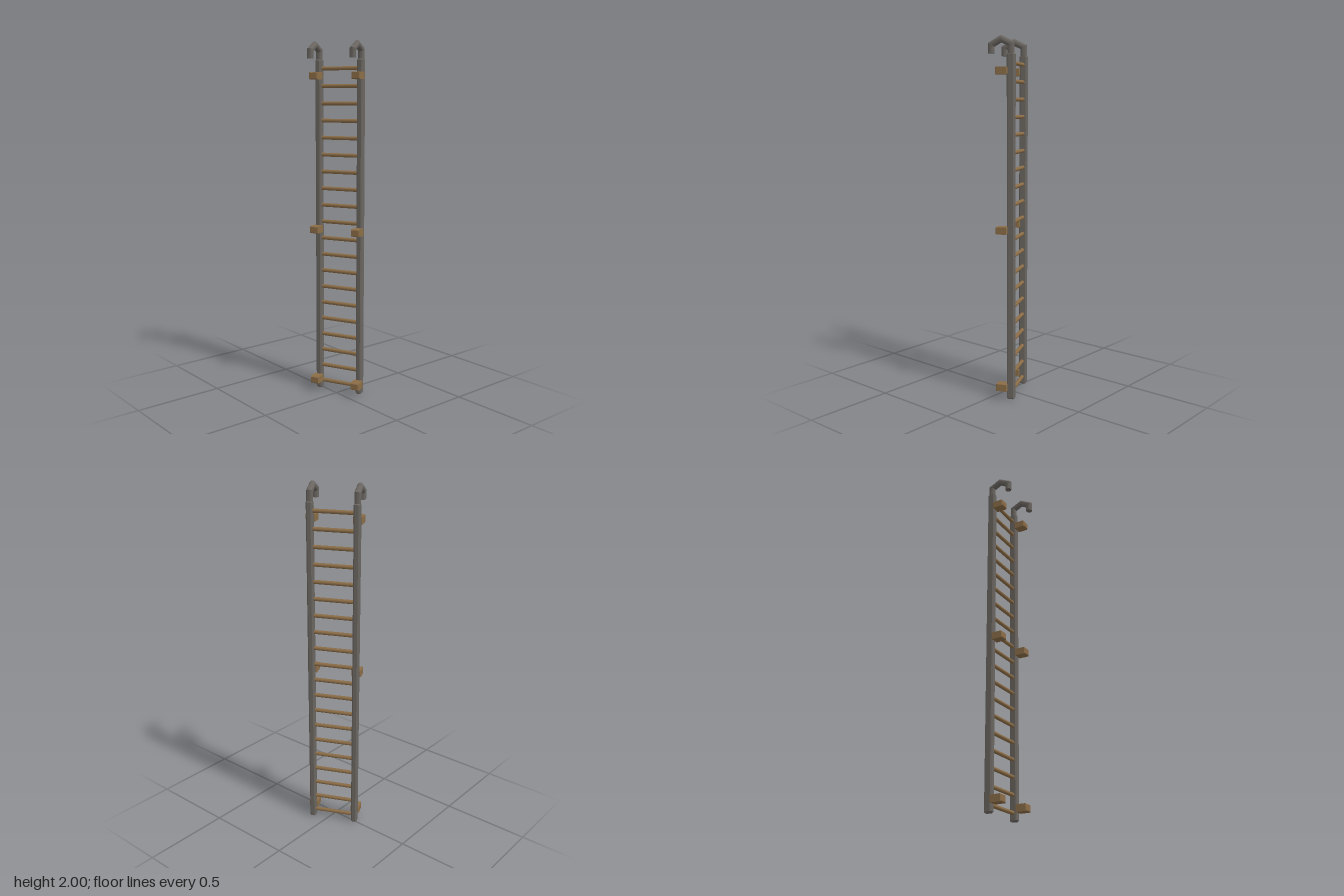
import * as THREE from 'three';
import { toCreasedNormals } from 'three/addons/utils/BufferGeometryUtils.js';

const metal = new THREE.MeshStandardMaterial({ color: 0x6a6560 });
metal.name = 'dark metal';
const wood = new THREE.MeshStandardMaterial({ color: 0x8b6d47 });
wood.name = 'brown wood';

// Upright bar with chamfered corners and bevelled ends
function railGeometry(w, d, h, c) {
  const x = w / 2, z = d / 2, b = 0.006;
  const outline = [[x, z - c], [x - c, z], [c - x, z], [-x, z - c], [-x, c - z], [c - x, -z], [x - c, -z], [x, c - z]];
  const shape = new THREE.Shape(outline.map(p => new THREE.Vector2(...p)));
  const geo = new THREE.ExtrudeGeometry(shape, {
    depth: h - 2 * b, bevelEnabled: true, bevelThickness: b, bevelSize: b, bevelOffset: -b, bevelSegments: 1,
  });
  return geo.translate(0, 0, b).rotateX(-Math.PI / 2);
}

// Block with small chamfers, centred on its own origin
function blockGeometry(w, h, d) {
  const b = 0.004, x = w / 2 - b, y = h / 2 - b;
  const shape = new THREE.Shape([[-x, -y], [x, -y], [x, y], [-x, y]].map(p => new THREE.Vector2(...p)));
  return new THREE.ExtrudeGeometry(shape, {
    depth: d - 2 * b, bevelEnabled: true, bevelThickness: b, bevelSize: b, bevelSegments: 1,
  }).translate(0, 0, b - d / 2);
}

// Round bar bent along a planar path of [forward, up] points with mitred joints
function hookGeometry(points, r) {
  const path = points.map(p => new THREE.Vector2(...p));
  const n = path.length - 1;
  const geo = new THREE.CylinderGeometry(r, r, 1, 12, n);
  const dir = i => path[i + 1].clone().sub(path[i]).normalize();
  const pos = geo.attributes.position;
  for (let k = 0; k < pos.count; k++) {
    const i = Math.round((pos.getY(k) + 0.5) * n);
    const before = dir(Math.max(i - 1, 0)), after = dir(Math.min(i, n - 1));
    const t = before.clone().add(after).normalize();
    const s = pos.getZ(k) / t.dot(before);
    pos.setXYZ(k, pos.getX(k), path[i].y - t.x * s, path[i].x + t.y * s);
  }
  return toCreasedNormals(geo, 0.65);
}

export function createModel() {
  const model = new THREE.Group();
  model.name = 'hookLadder';
  const ladder = new THREE.Group();
  ladder.name = 'ladder';
  ladder.position.set(-0.0255, 0, -0.047);
  ladder.rotation.y = 0.427;
  model.add(ladder);

  const add = (name, geo, mat, x, y, z) => {
    const mesh = new THREE.Mesh(geo, mat);
    mesh.name = name;
    mesh.position.set(x, y, z);
    ladder.add(mesh);
    return mesh;
  };

  const half = 0.127;
  const rail = railGeometry(0.034, 0.044, 1.905, 0.007);
  const hook = hookGeometry([[0, 1.885], [0, 1.953], [0.055, 1.979], [0.11, 1.949], [0.11, 1.905]], 0.018);
  const block = blockGeometry(0.052, 0.04, 0.066);

  // Two rails, each with a top hook and three stand-off blocks
  for (const [side, s] of [['right', -1], ['left', 1]]) {
    add(side + 'Rail', rail, metal, s * half, 0, 0);
    add(side + 'Hook', hook, metal, s * half, 0, 0);
    for (const y of [0.066, 0.957, 1.814]) add(side + 'Standoff', block, wood, s * half + 0.003, y, 0.049);
  }

  // Evenly spaced rungs
  const rung = new THREE.CylinderGeometry(0.011, 0.011, 2 * half, 10).rotateZ(Math.PI / 2);
  for (let i = 0; i < 20; i++) add('rung', rung, wood, 0, 0.044 + i * 0.0953, 0);

  return model;
}
